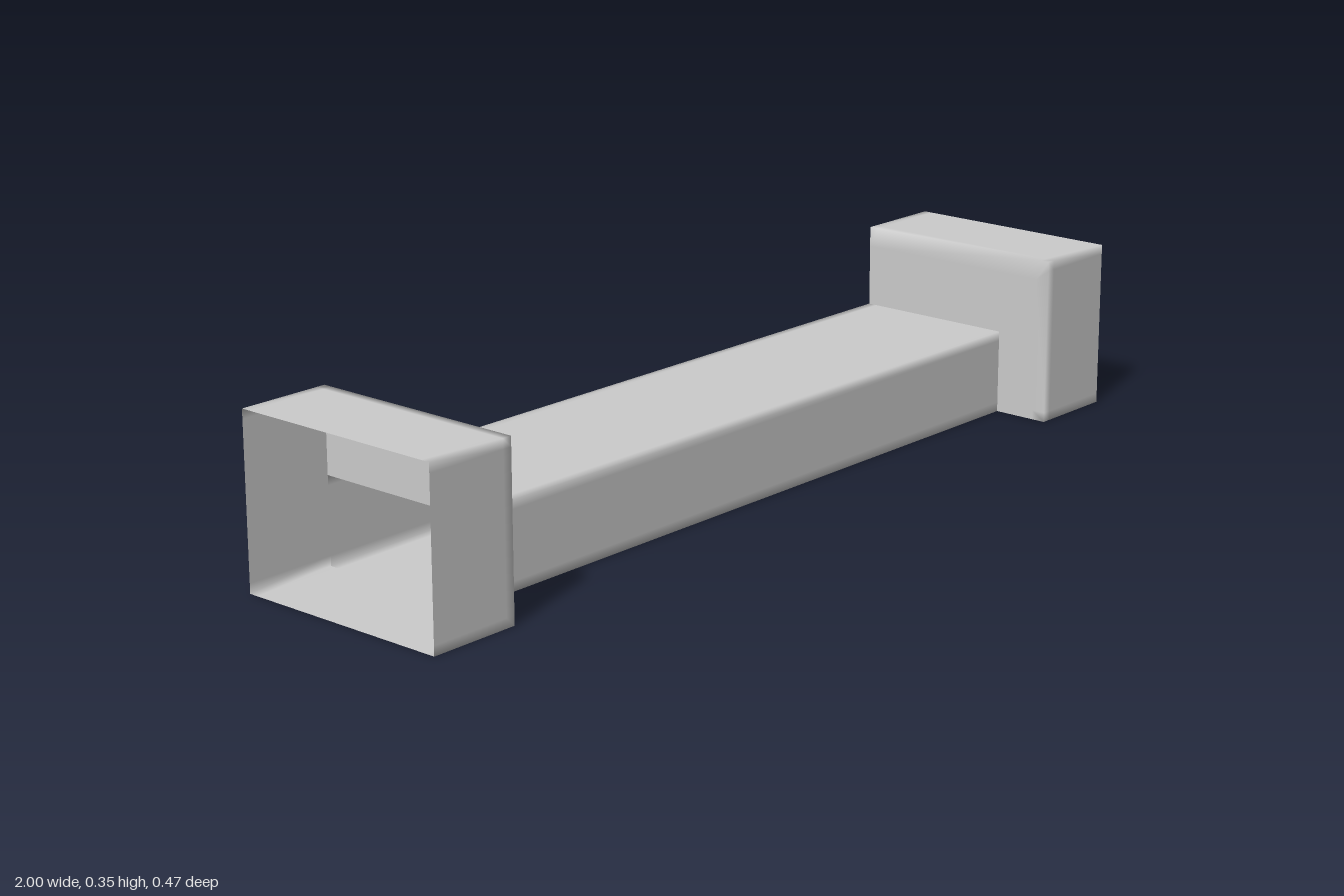
import * as THREE from 'three';

const BACK = -0.237, FRONT = 0.237, TOP = 0.35; // end block section
const BEAM_FRONT = 0.115, BEAM_TOP = 0.177;     // beam section
const INNER = 0.803;                            // inner wall of each end block
const EDGE = 0.02;                              // support loops beside each soft edge

// Rectangular section as [z, y] points, with a support point either side of each corner
function section(front, top) {
  const corners = [[BACK, 0], [front, 0], [front, top], [BACK, top]];
  const points = [];
  corners.forEach((c, i) => {
    for (const other of [corners[(i + 3) % 4], null, corners[(i + 1) % 4]]) {
      if (!other) { points.push(c); continue; }
      const t = EDGE / Math.hypot(other[0] - c[0], other[1] - c[1]);
      points.push([c[0] + (other[0] - c[0]) * t, c[1] + (other[1] - c[1]) * t]);
    }
  });
  return points;
}

const mix = (a, b, t) => a.map((p, i) => p.map((v, k) => v + (b[i][k] - v) * t));

// Skin sections placed along x (ascending) into an open-ended smooth shell
function loft(rings) {
  const n = rings[0].points.length;
  const positions = [], indices = [];
  for (const { x, points } of rings) for (const [z, y] of points) positions.push(x, y, z);

  const at = (i) => new THREE.Vector3().fromArray(positions, i * 3);
  const addFace = (a, b, c) => {
    // skip collapsed faces where block and beam are flush
    const area = at(b).sub(at(a)).cross(at(c).sub(at(a))).length();
    if (area > 1e-7) indices.push(a, b, c);
  };
  for (let r = 0; r < rings.length - 1; r++) {
    for (let i = 0; i < n; i++) {
      const a = r * n + i, b = r * n + (i + 1) % n;
      addFace(a, a + n, b);
      addFace(b, a + n, b + n);
    }
  }
  const geometry = new THREE.BufferGeometry();
  geometry.setAttribute('position', new THREE.Float32BufferAttribute(positions, 3));
  geometry.setIndex(indices);
  geometry.computeVertexNormals();
  return geometry;
}

export function createModel() {
  const group = new THREE.Group();
  group.name = 'hollowRail';
  const material = new THREE.MeshStandardMaterial({ color: 0xcccccc, side: THREE.DoubleSide });
  const big = section(FRONT, TOP);
  const small = section(BEAM_FRONT, BEAM_TOP);

  const add = (name, rings) => {
    const mesh = new THREE.Mesh(loft(rings), material);
    mesh.name = name;
    group.add(mesh);
  };

  // Hollow beam
  add('beam', [{ x: -INNER, points: small }, { x: INNER, points: small }]);

  // End blocks: open outside, with an L-shaped wall around the beam inside
  for (const side of [-1, 1]) {
    const rings = [
      { x: side * INNER, points: small },
      { x: side * INNER, points: mix(big, small, 0.25) },
      { x: side * INNER, points: big },
      { x: side * (INNER + EDGE), points: big },
      { x: side, points: big },
    ];
    add(side > 0 ? 'leftEndBlock' : 'rightEndBlock', side > 0 ? rings : rings.reverse());
  }
  return group;
}
